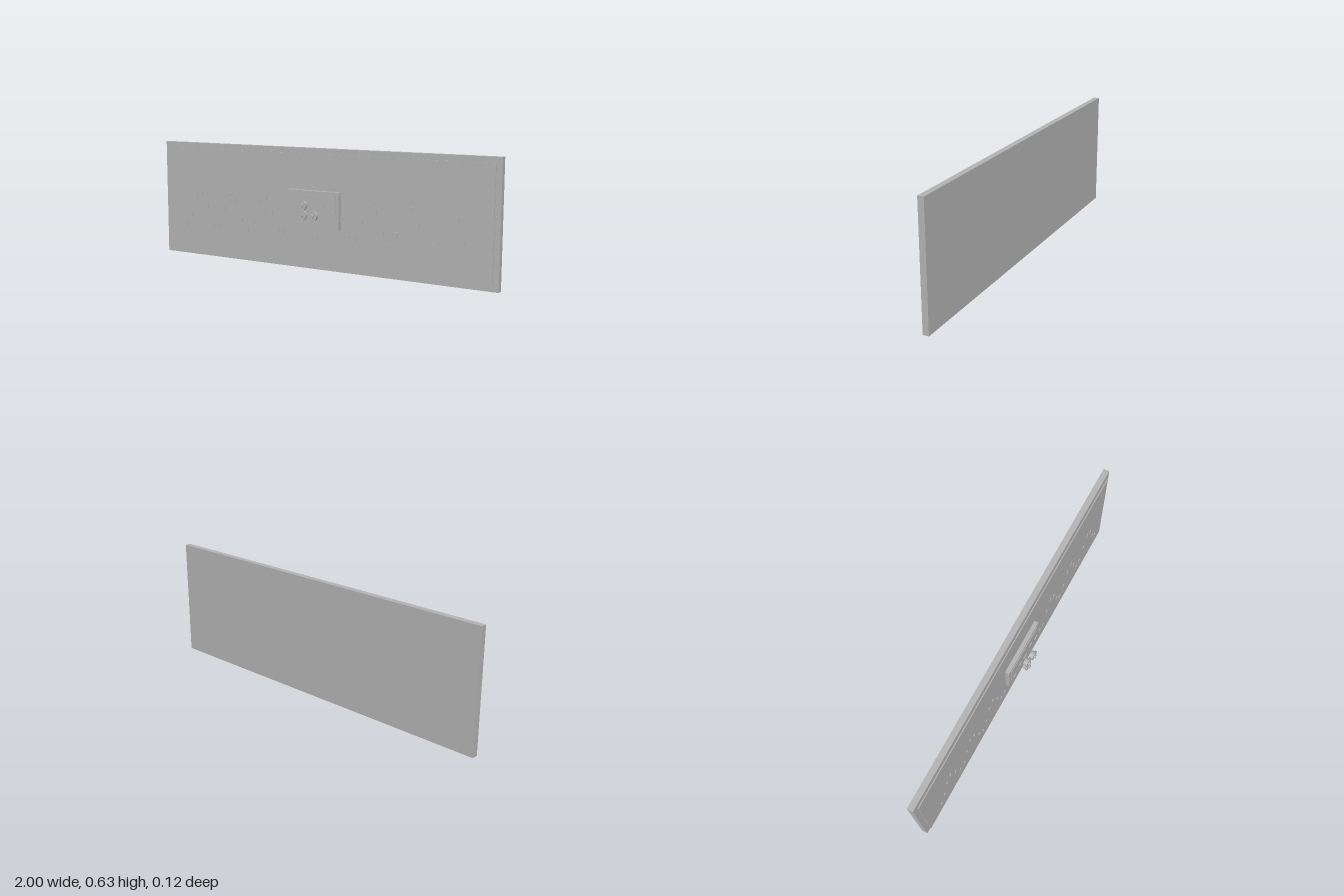
import * as THREE from 'three';

export function createModel() {
  const model = new THREE.Group();
  model.name = 'wallPanel';
  const grey = new THREE.MeshStandardMaterial({ color: 0xb2b2b2 });
  grey.name = 'plain grey';

  const box = (name, w, h, z0, z1, x, y) => {
    const mesh = new THREE.Mesh(new THREE.BoxGeometry(w, h, z1 - z0), grey);
    mesh.name = name;
    mesh.position.set(x, y, (z0 + z1) / 2);
    model.add(mesh);
  };

  // Backing board, floating face sheet, central control box and its screen
  box('backBoard', 2, 0.635, -0.0585, -0.027, 0, 0.3175);
  box('faceSheet', 1.944, 0.576, -0.0225, -0.0175, 0, 0.318);
  box('controlBox', 0.316, 0.197, -0.018, 0.0055, 0, 0.3185);
  box('screen', 0.276, 0.158, 0.0055, 0.009, 0, 0.3185);

  // Row of small pegs following a wave
  for (let i = 0; i < 45; i++) {
    const y = 0.267 - 0.0963 * Math.cos((4 * Math.PI * i) / 11);
    box('peg', 0.0115, 0.027, -0.0105, -0.006, -0.85 + 0.0391 * i, y);
  }

  // Short dashes in front of the screen
  [0.289, 0.323, 0.306, 0.34, 0.3145].forEach((y, i) => {
    box('screenDash', 0.028, 0.0045, 0.0105, 0.0145, -0.112 + 0.0565 * i, y);
  });

  // Three knobs, each a body, a wider rim and a small hub
  const knobSteps = [
    ['knobBody', 0.0215, 0.03, 0.0445],
    ['knobRim', 0.0262, 0.0445, 0.0525],
    ['knobHub', 0.0098, 0.0525, 0.061],
  ];
  for (const [x, y] of [[-0.035, 0.344], [-0.035, 0.2925], [0.029, 0.2925]]) {
    const knob = new THREE.Group();
    knob.name = 'knob';
    knob.position.set(x, y, 0);
    for (const [name, r, z0, z1] of knobSteps) {
      const geometry = new THREE.CylinderGeometry(r, r, z1 - z0, 24).rotateX(Math.PI / 2);
      const mesh = new THREE.Mesh(geometry, grey);
      mesh.name = name;
      mesh.position.z = (z0 + z1) / 2;
      knob.add(mesh);
    }
    model.add(knob);
  }
  return model;
}
